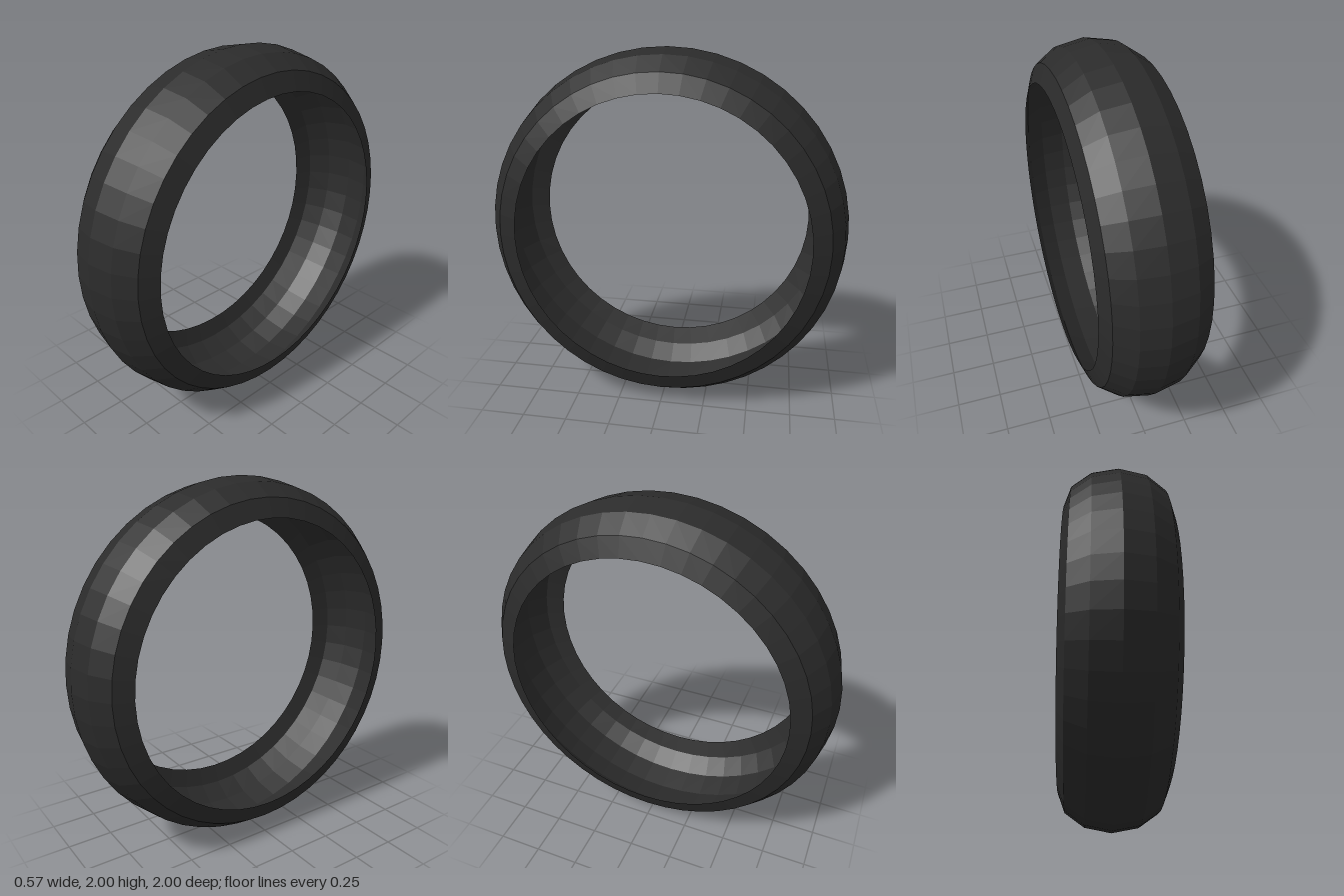
import * as THREE from 'three';

export function createModel() {
  const group = new THREE.Group();
  group.name = 'tyre';

  const rubber = new THREE.MeshStandardMaterial({
    color: 0x2b2b2b, flatShading: true, side: THREE.DoubleSide,
  });
  rubber.name = 'dark rubber';

  // Half-elliptical cross-section, open toward the hub
  const rimRadius = 0.8, depth = 0.2, halfWidth = 0.285, steps = 6;
  const profile = [];
  for (let i = 0; i <= steps; i++) {
    const a = -Math.PI / 2 + (i / steps) * Math.PI;
    profile.push(new THREE.Vector2(rimRadius + depth * Math.cos(a), halfWidth * Math.sin(a)));
  }

  // Hollow shell swept around the x axis
  const geometry = new THREE.LatheGeometry(profile, 48);
  geometry.rotateZ(Math.PI / 2);
  geometry.translate(0, 1, 0);

  const shell = new THREE.Mesh(geometry, rubber);
  shell.name = 'tyreShell';
  group.add(shell);
  return group;
}
